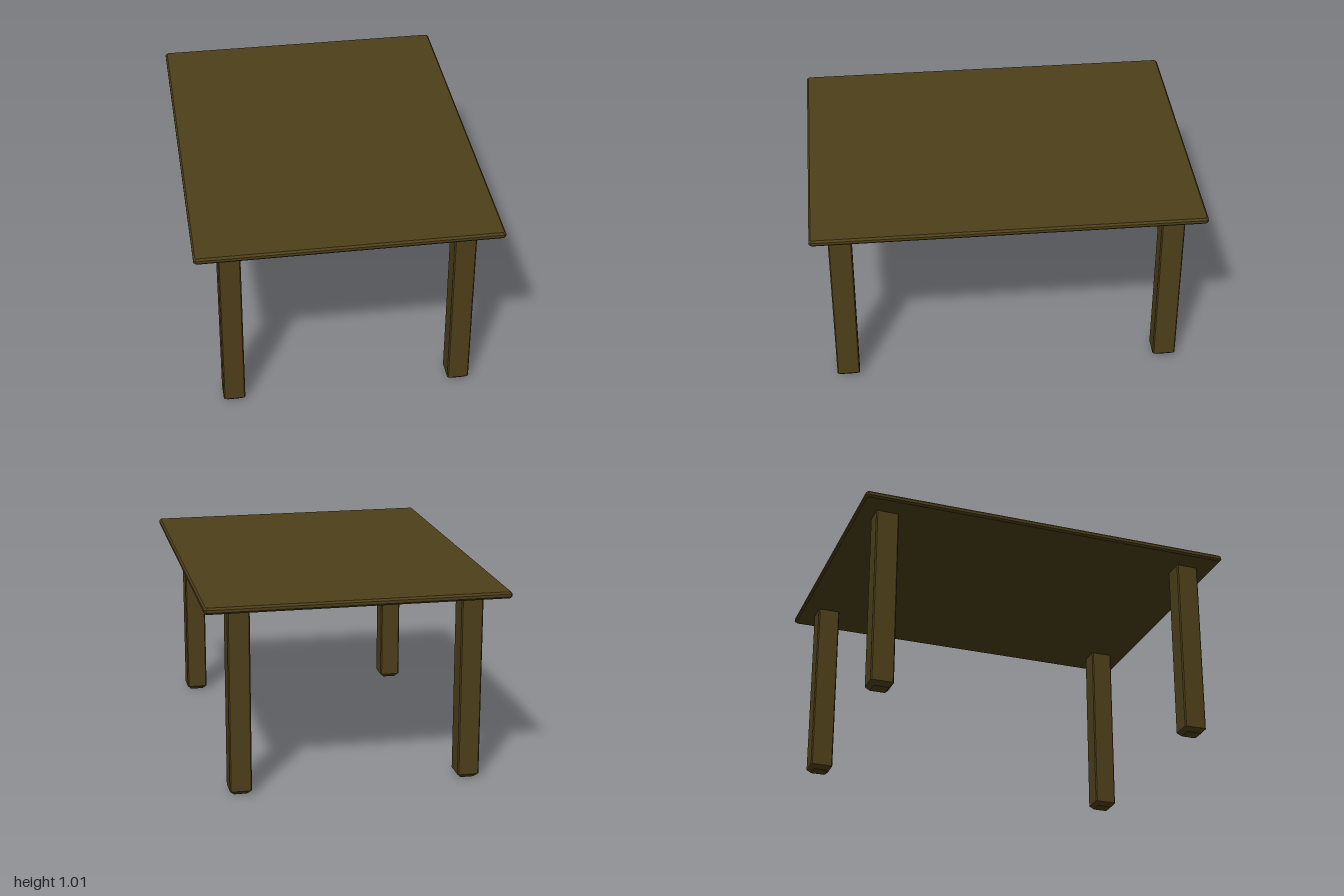
import * as THREE from 'three';

const wood = new THREE.MeshStandardMaterial({ color: 0x4d3f19, flatShading: true });

// Octagonal outline: a rectangle with its corners cut, anticlockwise from above
function outline(y, x, z, cut) {
  return [
    [-x + cut, z], [x - cut, z], [x, z - cut], [x, -z + cut],
    [x - cut, -z], [-x + cut, -z], [-x, -z + cut], [-x, z - cut],
  ].map(([px, pz]) => [px, y, pz]);
}

// Chamfered block lofted through levels of [height, half width, half depth, corner cut]
function chamferedBlock(levels) {
  const rings = levels.map((level) => outline(...level));
  const n = 8;
  const index = [];
  for (let r = 0; r < rings.length - 1; r++) {
    for (let i = 0; i < n; i++) {
      const a = r * n + i, b = r * n + (i + 1) % n;
      index.push(a, b, b + n, a, b + n, a + n);
    }
  }
  const top = (rings.length - 1) * n;
  for (let i = 1; i < n - 1; i++) {
    index.push(0, i + 1, i);
    index.push(top, top + i, top + i + 1);
  }
  const indexed = new THREE.BufferGeometry();
  indexed.setAttribute('position', new THREE.Float32BufferAttribute(rings.flat(2), 3));
  indexed.setIndex(index);
  const geometry = indexed.toNonIndexed();
  geometry.computeVertexNormals();
  return geometry;
}

export function createModel() {
  const table = new THREE.Group();
  table.name = 'table';

  // Thin top with bevelled edges
  const top = new THREE.Mesh(chamferedBlock([
    [0.973, 0.761, 0.991, 0.006],
    [0.983, 0.77, 1, 0.01],
    [0.997, 0.77, 1, 0.01],
    [1.007, 0.761, 0.991, 0.006],
  ]), wood);
  top.name = 'tableTop';
  table.add(top);

  // Four square legs with chamfered feet, running up into the top
  const legGeometry = chamferedBlock([
    [0, 0.036, 0.04, 0.004],
    [0.021, 0.056, 0.06, 0.006],
    [0.985, 0.056, 0.06, 0.006],
  ]);
  for (const [z, end] of [[0.85, 'front'], [-0.85, 'back']]) {
    for (const [x, side] of [[0.591, 'Left'], [-0.591, 'Right']]) {
      const leg = new THREE.Mesh(legGeometry, wood);
      leg.name = `${end}${side}Leg`;
      leg.position.set(x, 0, z);
      table.add(leg);
    }
  }
  return table;
}
